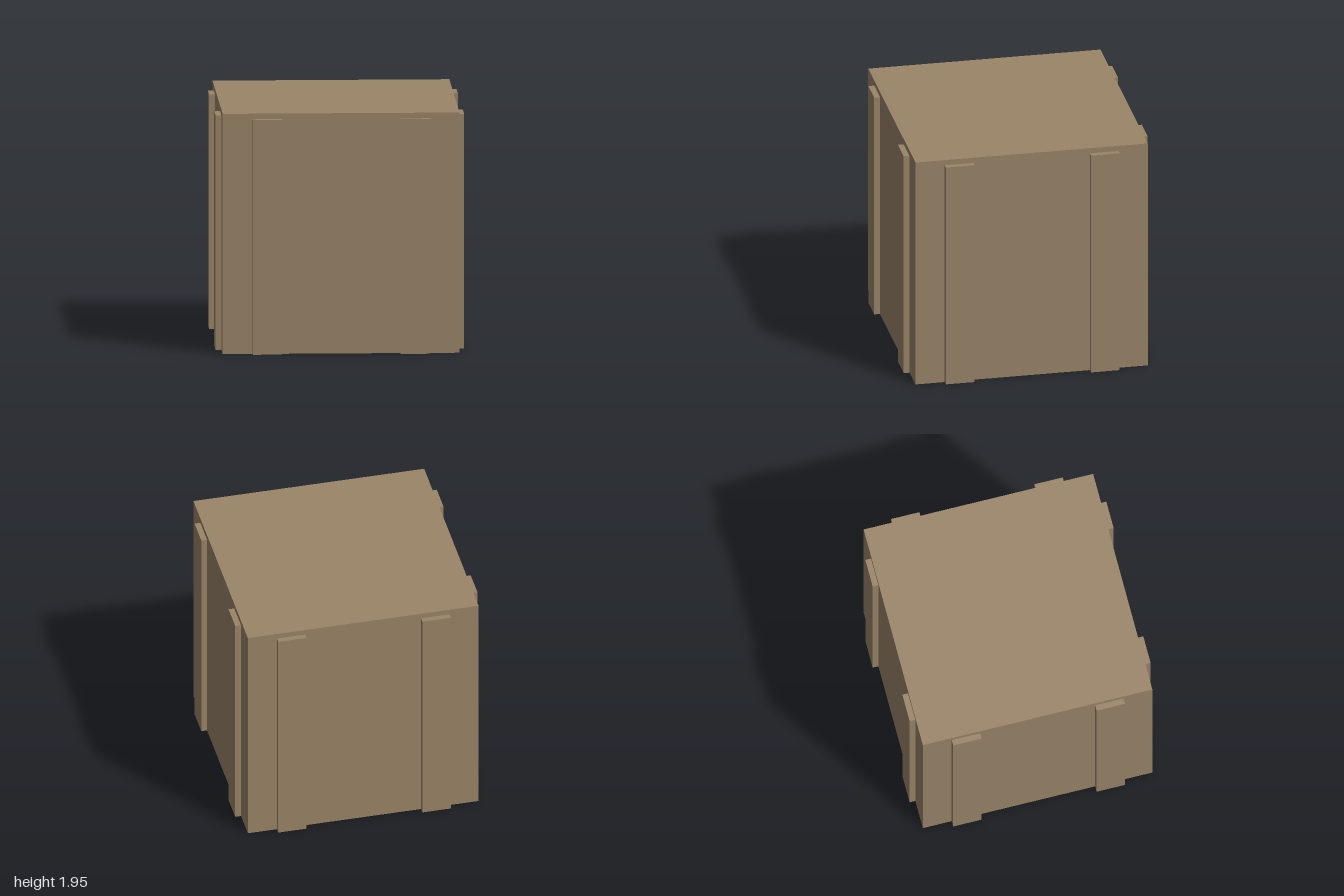
import * as THREE from 'three';

export function createModel() {
  const crate = new THREE.Group();
  crate.name = 'crate';
  const wood = new THREE.MeshStandardMaterial({ color: 0x9b8568, flatShading: true });

  const width = 1.905, bodyHeight = 1.905, lidHeight = 0.045;
  const slatWidth = 0.235, slatDepth = 0.0475, slatOffset = 0.595;

  const addBox = (parent, name, size, position) => {
    const mesh = new THREE.Mesh(new THREE.BoxGeometry(...size), wood);
    mesh.name = name;
    mesh.position.set(...position);
    parent.add(mesh);
  };

  // Body and the thin lid flush with its sides
  addBox(crate, 'body', [width, bodyHeight, width], [0, bodyHeight / 2, 0]);
  addBox(crate, 'lid', [width, lidHeight, width], [0, bodyHeight + lidHeight / 2, 0]);

  // Two upright slats on each of the four sides
  ['front', 'left', 'back', 'right'].forEach((side, i) => {
    const slats = new THREE.Group();
    slats.name = `${side}Slats`;
    for (const s of [-1, 1]) {
      addBox(slats, `${side}Slat`, [slatWidth, bodyHeight, slatDepth],
        [s * slatOffset, bodyHeight / 2, width / 2 + slatDepth / 2]);
    }
    slats.rotation.y = i * Math.PI / 2;
    crate.add(slats);
  });

  return crate;
}
